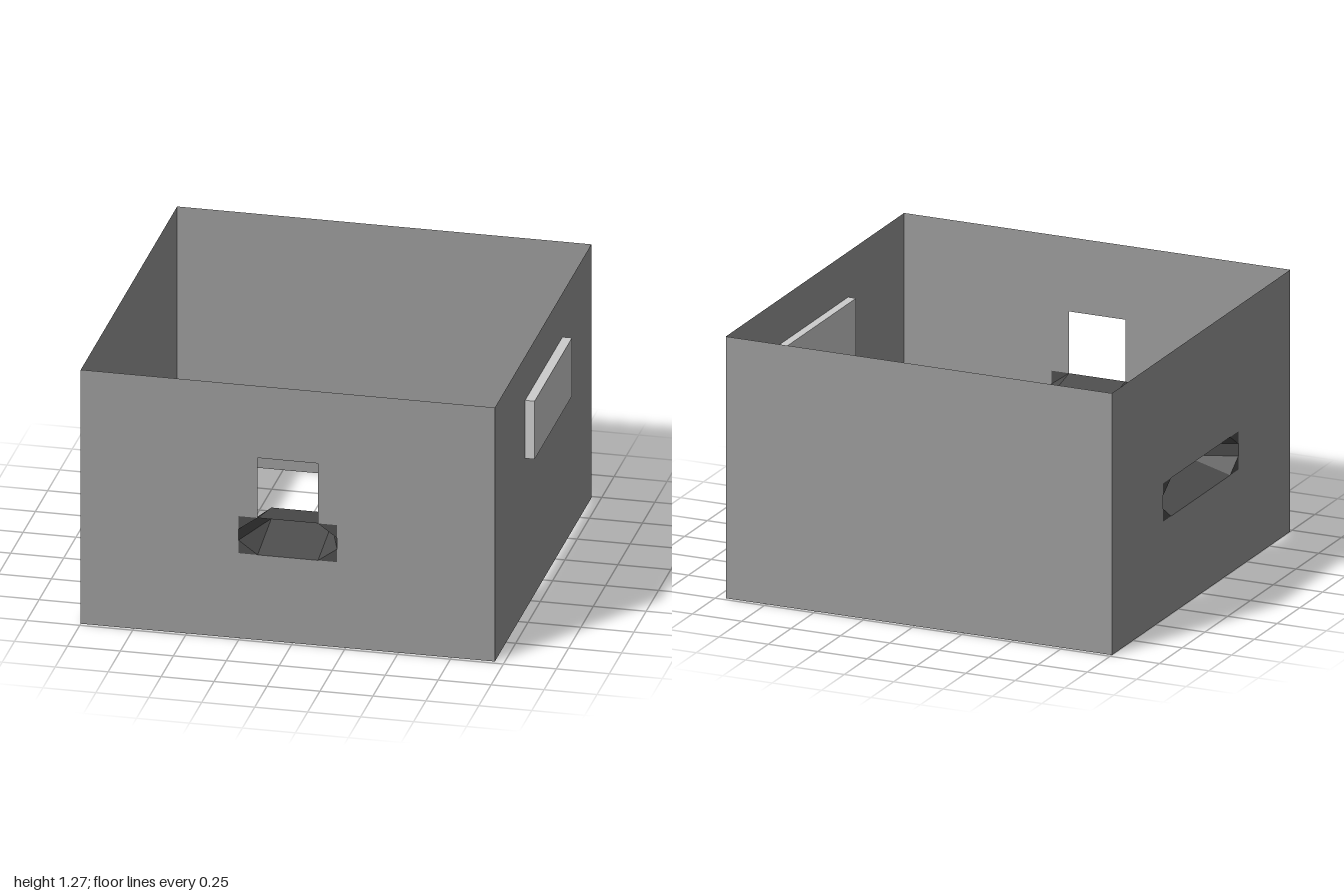
import * as THREE from 'three';

const HEIGHT = 1.27, LEFT = 0.955, RIGHT = -1, HALF = 0.98;

function material(name, color) {
  const m = new THREE.MeshStandardMaterial({ color, side: THREE.DoubleSide });
  m.name = name;
  return m;
}

// Thin wall in its own xy plane, with an optional polygon opening
function wall(name, x0, x1, opening, mat) {
  const points = list => list.map(([x, y]) => new THREE.Vector2(x, y));
  const shape = new THREE.Shape(points([[x0, 0], [x1, 0], [x1, HEIGHT], [x0, HEIGHT]]));
  if (opening) shape.holes.push(new THREE.Path(points(opening)));
  const mesh = new THREE.Mesh(new THREE.ShapeGeometry(shape), mat);
  mesh.name = name;
  return mesh;
}

// Tapered recess: wide at the wall (z = 0), narrow at the inner end (z = -depth).
// x and y list outer, inner, inner, outer positions.
function recess(name, x, y, depth, mat) {
  const pos = [];
  const P = (i, j) => [x[i], y[j], (i % 3 && j % 3) ? -depth : 0];
  const tri = (...pts) => pts.forEach(p => pos.push(...p));
  const quad = (a, b, c, d) => { tri(a, b, c); tri(a, c, d); };

  // Nine patches: end, slopes and sides, then corners folded along alternating diagonals
  for (let i = 0; i < 3; i++) {
    for (let j = 0; j < 3; j++) {
      const a = P(i, j), b = P(i + 1, j), c = P(i + 1, j + 1), d = P(i, j + 1);
      const corner = i !== 1 && j !== 1;
      if (corner && i === j) { tri(a, b, d); tri(b, c, d); }
      else quad(a, b, c, d);
      if (corner && i !== j) { pos.length -= 18; tri(a, b, c); tri(a, c, d); }
    }
  }
  const geo = new THREE.BufferGeometry();
  geo.setAttribute('position', new THREE.Float32BufferAttribute(pos, 3));
  geo.computeVertexNormals();
  const mesh = new THREE.Mesh(geo, mat);
  mesh.name = name;
  return mesh;
}

export function createModel() {
  const group = new THREE.Group();
  group.name = 'room';
  const wallMat = material('wall grey', 0x999999);
  const darkMat = material('recess dark grey', 0x4c4c4c);
  const panelMat = material('panel light grey', 0xcccccc);

  // Front wall with a window joined to the slot below it
  const fx = [-0.255, -0.165, 0.12, 0.21], fy = [0.425, 0.49, 0.545, 0.61];
  const front = new THREE.Group();
  front.name = 'frontSide';
  front.add(
    wall('frontWall', RIGHT, LEFT, [
      [fx[0], fy[0]], [fx[0], fy[3]], [fx[1], fy[3]], [fx[1], 0.91],
      [fx[2], 0.91], [fx[2], fy[3]], [fx[3], fy[3]], [fx[3], fy[0]],
    ], wallMat),
    recess('frontRecess', fx, fy, 0.28, darkMat));
  front.position.z = HALF;

  // Right-hand wall with a wide slot
  const sx = [-0.42, -0.33, 0.32, 0.41], sy = [0.475, 0.54, 0.6, 0.66];
  const side = new THREE.Group();
  side.name = 'rightSide';
  side.add(
    wall('rightWall', -HALF, HALF, [
      [sx[0], sy[0]], [sx[0], sy[3]], [sx[3], sy[3]], [sx[3], sy[0]],
    ], wallMat),
    recess('rightRecess', sx, sy, 0.24, darkMat));
  side.position.x = RIGHT;
  side.rotation.y = -Math.PI / 2;

  // Plain back and left walls
  const back = wall('backWall', -LEFT, -RIGHT, null, wallMat);
  back.position.z = -HALF;
  back.rotation.y = Math.PI;
  const left = wall('leftWall', -HALF, HALF, null, wallMat);
  left.position.x = LEFT;
  left.rotation.y = Math.PI / 2;

  // Panel passing through the left wall
  const panel = new THREE.Mesh(new THREE.BoxGeometry(0.085, 0.29, 0.76), panelMat);
  panel.name = 'wallPanel';
  panel.position.set(0.9575, 0.905, -0.015);

  group.add(front, side, back, left, panel);
  return group;
}
